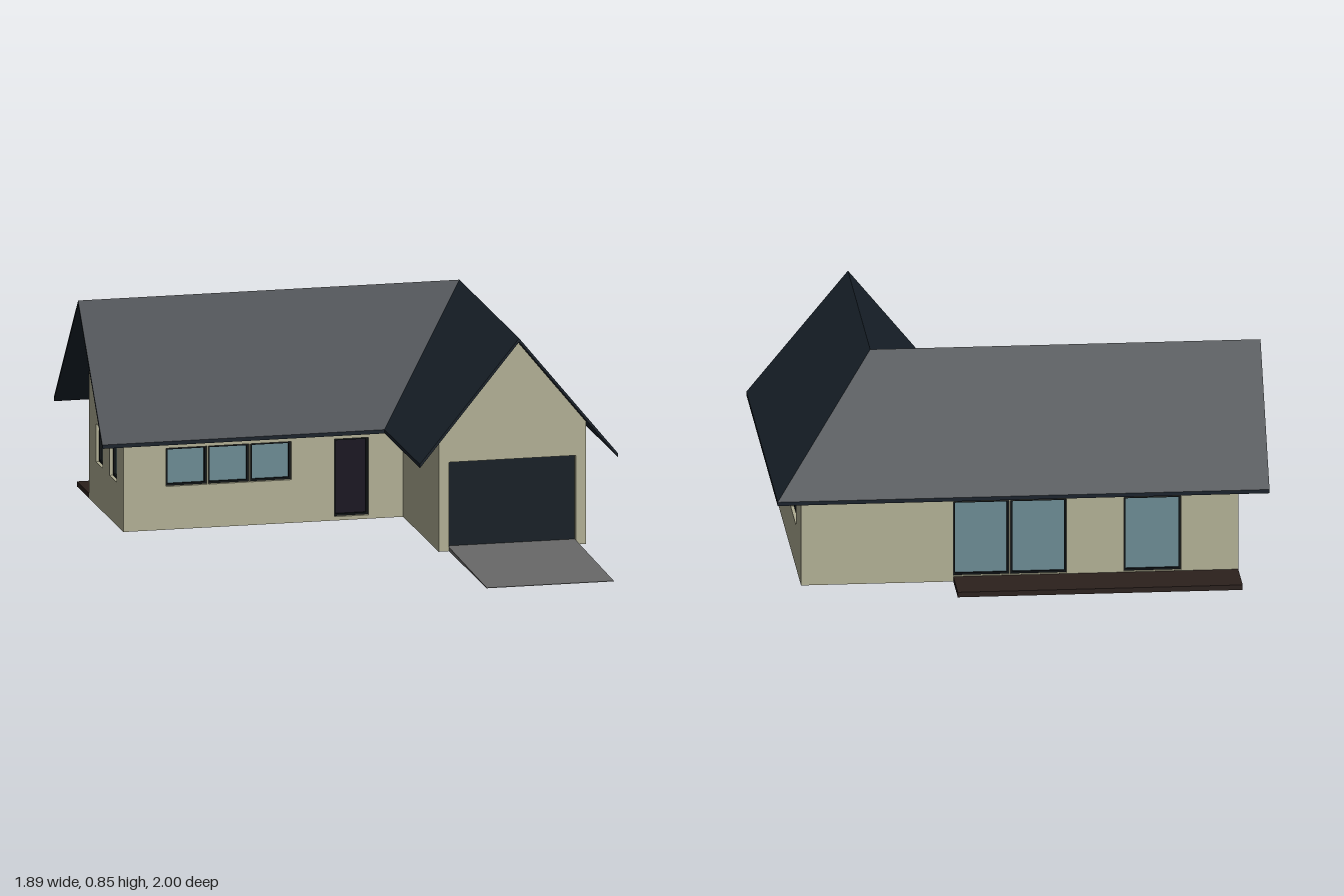
import * as THREE from 'three';

const material = (color, side = THREE.FrontSide) =>
  new THREE.MeshStandardMaterial({ color, side });
const mats = {
  wall: material(0xb0ae93), roof: material(0x18212a), frame: material(0x0b1013),
  glass: material(0x6b8a92), door: material(0x17131f), garage: material(0x141d24),
  drive: material(0x686868), deck: material(0x2b201c),
};

const polygon = (pts) => new THREE.Shape(pts.map(([x, y]) => new THREE.Vector2(x, y)));
const rect = (u0, u1, y0, y1, C = THREE.Shape) =>
  new C([[u0, y0], [u1, y0], [u1, y1], [u0, y1]].map(([x, y]) => new THREE.Vector2(x, y)));

function extrude(name, shape, depth, mat) {
  const mesh = new THREE.Mesh(
    new THREE.ExtrudeGeometry(shape, { depth, bevelEnabled: false }), mat);
  mesh.name = name;
  return mesh;
}

// Wall with recessed openings; its outer face lies on local z = 0, facing +z
function wall(name, pts, openings = []) {
  const group = new THREE.Group();
  group.name = name;
  const t = 0.04;
  const shape = polygon(pts);
  for (const [kind, u0, u1, y0, y1] of openings) {
    shape.holes.push(rect(u0, u1, y0, y1, THREE.Path));
    const b = 0.008;
    if (kind !== 'garage') {
      const ring = rect(u0, u1, y0, y1);
      ring.holes.push(rect(u0 + b, u1 - b, y0 + b, y1 - b, THREE.Path));
      const frame = extrude(kind + 'Frame', ring, 0.025, mats.frame);
      frame.position.z = -0.038;
      group.add(frame);
    }
    const pane = extrude(kind + 'Panel', rect(u0, u1, y0, y1), 0.008, mats[kind]);
    pane.position.z = -0.03;
    group.add(pane);
  }
  const body = extrude(name + 'Body', shape, t, mats.wall);
  body.position.z = -t;
  group.add(body);
  return group;
}

// Roof sheet with hip and valley, given a small vertical thickness
function roof() {
  const r = 0.85, e = 0.375, t = 0.015;
  const P = {
    back: [-0.95, e, -0.92], ridgeEnd: [-0.95, r, -0.515], front: [-0.95, e, -0.11],
    valley: [0.16, e, -0.11], wingL: [0.16, e, 0.48], wingRidge: [0.55, r, 0.48],
    wingR: [0.94, e, 0.48], hip: [0.94, e, -0.92], joint: [0.55, r, -0.515],
  };
  const low = ([x, y, z]) => [x, y - t, z];
  const pos = [];
  const quad = (a, b, c, d) => pos.push(...a, ...b, ...c, ...a, ...c, ...d);
  const panels = [
    ['front', 'valley', 'joint', 'ridgeEnd'], ['valley', 'wingL', 'wingRidge', 'joint'],
    ['wingR', 'hip', 'joint', 'wingRidge'], ['hip', 'back', 'ridgeEnd', 'joint'],
  ];
  for (const names of panels) {
    const q = names.map((n) => P[n]);
    quad(...q);
    quad(...q.map(low).reverse());
  }
  // Fascia along the outline
  const rim = ['back', 'ridgeEnd', 'front', 'valley', 'wingL', 'wingRidge', 'wingR', 'hip'];
  rim.forEach((n, i) => {
    const a = P[n], b = P[rim[(i + 1) % rim.length]];
    quad(low(a), low(b), b, a);
  });
  const geo = new THREE.BufferGeometry();
  geo.setAttribute('position', new THREE.Float32BufferAttribute(pos, 3));
  geo.computeVertexNormals();
  const mesh = new THREE.Mesh(geo, mats.roof);
  mesh.name = 'roof';
  return mesh;
}

export function createModel() {
  const house = new THREE.Group();
  house.name = 'house';
  const place = (obj, x, z, turn = 0) => {
    obj.position.set(x, 0, z);
    obj.rotation.y = turn * Math.PI / 2;
    house.add(obj);
  };
  const win = (u0, u1) => ['glass', u0, u1, 0.17, 0.32];
  const patio = (u0, u1) => ['glass', u0, u1, 0.022, 0.32];

  // Front of the main wing: three windows and the entrance
  place(wall('frontWall', [[-0.84, 0], [0.26, 0], [0.26, 0.498], [-0.84, 0.498]], [
    win(-0.672, -0.511), win(-0.506, -0.345), win(-0.34, -0.179),
    ['door', -0.01, 0.125, 0.015, 0.32],
  ]), 0, -0.225);

  // Garage wing: gable front and inner side
  place(wall('garageFront',
    [[0.26, 0], [0.84, 0], [0.84, 0.48], [0.55, 0.834], [0.26, 0.48]],
    [['garage', 0.3, 0.8, 0.015, 0.35]]), 0, 0.37);
  place(wall('garageInnerWall', [[-0.225, 0], [0.37, 0], [0.37, 0.48], [-0.225, 0.48]]),
    0.26, 0, -1);

  // Right side, left gable and back
  place(wall('rightWall', [[-0.37, 0], [0.8, 0], [0.8, 0.48], [-0.37, 0.48]],
    [win(-0.135, 0.097), win(0.333, 0.563)]), 0.84, 0, 1);
  place(wall('leftGable',
    [[-0.8, 0], [-0.225, 0], [-0.225, 0.495], [-0.515, 0.834], [-0.8, 0.498]],
    [win(-0.685, -0.57), win(-0.455, -0.34)]), -0.84, 0, -1);
  place(wall('backWall',
    [[-0.84, 0], [0.84, 0], [0.84, 0.498], [-0.7, 0.498], [-0.84, 0.48]],
    [patio(-0.255, -0.04), patio(-0.035, 0.18), patio(0.4, 0.62)]), 0, -0.8, 2);

  house.add(roof());

  // Floor slab, drawn in plan and laid flat
  const floor = extrude('floor', polygon([[-0.84, 0.225], [0.26, 0.225], [0.26, -0.37],
    [0.84, -0.37], [0.84, 0.8], [-0.84, 0.8]]), 0.01, mats.wall);
  floor.rotation.x = -Math.PI / 2;
  house.add(floor);

  // Sloping driveway, reaching the garage door
  place(extrude('driveway', polygon([[0.345, 0], [1, 0], [1, 0.002], [0.37, 0.016],
    [0.345, 0.016]]), 0.5, mats.drive), 0.8, 0, -1);

  // Rear deck
  const deck = new THREE.Mesh(new THREE.BoxGeometry(1.095, 0.02, 0.2), mats.deck);
  deck.name = 'deck';
  deck.position.set(-0.2925, 0.01, -0.9);
  house.add(deck);

  return house;
}
